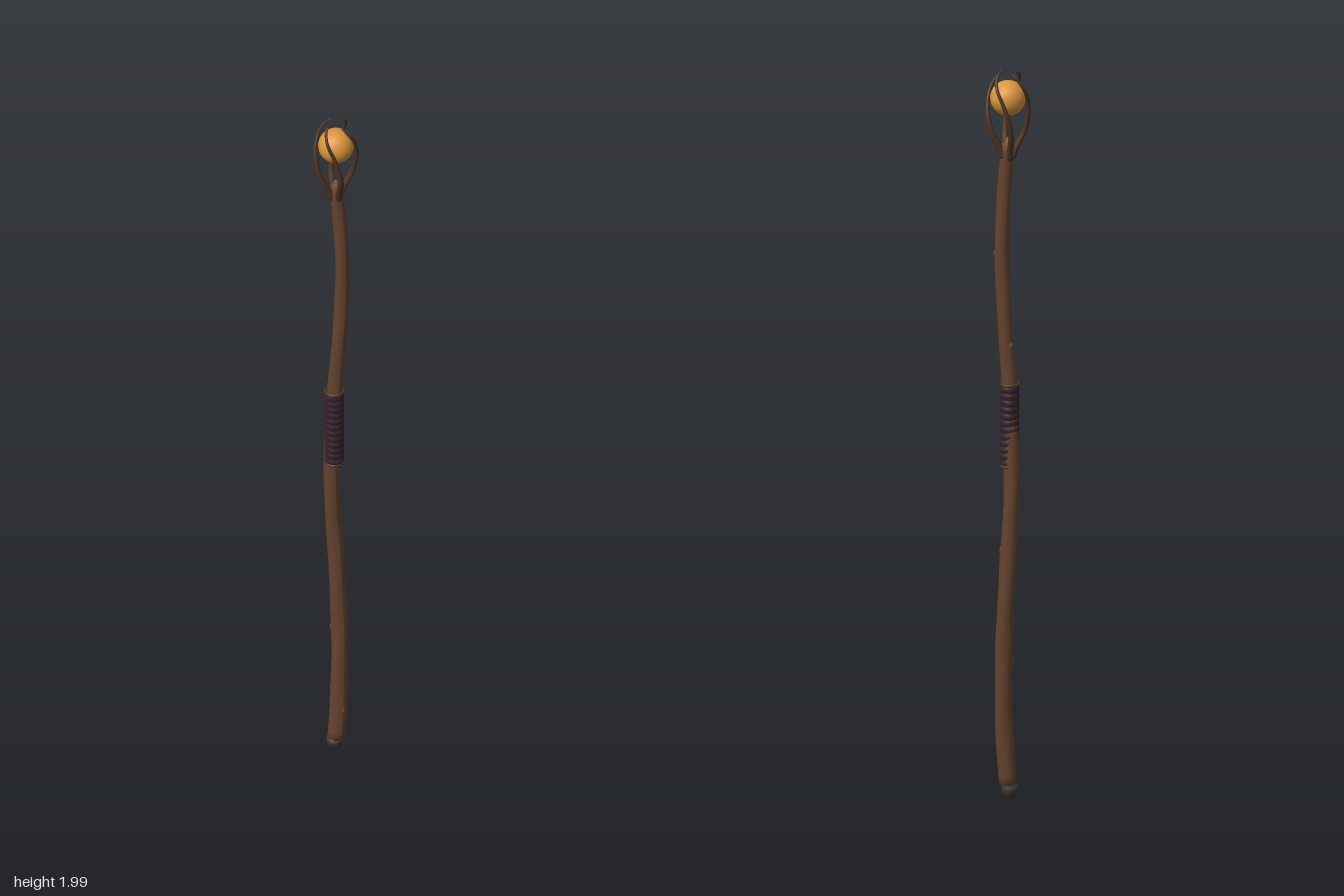
import * as THREE from 'three';

const V = (x, y, z) => new THREE.Vector3(x, y, z);

// Round tube along a smooth curve; radius(t) gives the thickness, ends are closed
function taperedTube(points, radius, segments, sides) {
  const curve = new THREE.CatmullRomCurve3(points);
  const geo = new THREE.TubeGeometry(curve, segments, 1, sides, false);
  const pos = geo.attributes.position;
  const p = V(0, 0, 0), c = V(0, 0, 0);
  for (let i = 0; i <= segments; i++) {
    curve.getPointAt(i / segments, c);
    const end = i === 0 || i === segments;
    for (let j = 0; j <= sides; j++) {
      const k = i * (sides + 1) + j;
      p.fromBufferAttribute(pos, k).sub(c);
      const r = end ? 0 : radius(i / segments, (j % sides) / sides);
      p.multiplyScalar(r).add(c);
      pos.setXYZ(k, p.x, p.y, p.z);
    }
  }
  geo.computeVertexNormals();
  return geo;
}

export function createModel() {
  const staff = new THREE.Group();
  staff.name = 'staff';
  const mat = (name, color) => {
    const m = new THREE.MeshStandardMaterial({ color });
    m.name = name;
    return m;
  };
  const wood = mat('brown wood', 0x64432f);
  const darkWood = mat('dark wood', 0x4c3424);
  const leather = mat('dark leather', 0x35222a);
  const cord = mat('cord', 0x4a3626);
  const metal = mat('dark metal', 0x383431);
  const amber = mat('amber', 0xd9953a);
  const add = (name, geo, material, parent = staff) => {
    const mesh = new THREE.Mesh(geo, material);
    mesh.name = name;
    parent.add(mesh);
    return mesh;
  };

  // Gently crooked shaft, thinner at the top
  const path = [
    V(-0.003, 0.03, 0.004), V(0.006, 0.15, 0.004), V(0.014, 0.36, -0.004),
    V(0.009, 0.6, -0.014), V(-0.003, 0.82, -0.016), V(-0.005, 0.95, -0.013),
    V(-0.003, 1.14, -0.002), V(0.007, 1.32, 0.006), V(0.014, 1.5, 0.009),
    V(0.01, 1.65, 0.007), V(0.002, 1.77, 0.002), V(0, 1.82, 0),
  ];
  const shaftRadius = (t, a) => (0.0245 - 0.007 * t)
    * (1 + 0.03 * Math.sin(t * 45 + a * Math.PI * 4));
  add('shaft', taperedTube(path, shaftRadius, 90, 16), wood);

  // Small knots in the wood: height, angle
  const curve = new THREE.CatmullRomCurve3(path);
  for (const [t, a] of [[0.06, 1.5], [0.2, 3.6], [0.37, 0.2], [0.68, 4.4], [0.82, 0.3]]) {
    const c = curve.getPointAt(t), r = 0.021 - 0.007 * t;
    const knot = add('knot', new THREE.SphereGeometry(0.007, 10, 8), wood);
    knot.position.set(c.x + Math.cos(a) * r, c.y, c.z + Math.sin(a) * r);
    knot.scale.y = 1.6;
  }

  // Rounded foot cap
  const foot = [[0, 0.008], [0.012, 0.01], [0.018, 0.018], [0.021, 0.03], [0.021, 0.042], [0, 0.044]];
  const cap = add('footCap', new THREE.LatheGeometry(
    foot.map(([r, y]) => new THREE.Vector2(r, y)), 16), metal);
  cap.position.set(-0.003, 0, -0.003);

  // Wrapped grip: ridged sleeve with a cord at each end
  const grip = new THREE.Group();
  grip.name = 'grip';
  grip.position.set(-0.003, 0, -0.004);
  staff.add(grip);
  const profile = [new THREE.Vector2(0.015, 0.92)];
  const steps = 96;
  for (let i = 0; i <= steps; i++) {
    const r = 0.0235 + 0.0025 * Math.abs(Math.sin(Math.PI * 12 * i / steps));
    profile.push(new THREE.Vector2(r, 0.92 + 0.22 * i / steps));
  }
  profile.push(new THREE.Vector2(0.015, 1.14));
  add('gripWrap', new THREE.LatheGeometry(profile, 24), leather, grip);
  for (const y of [0.92, 1.143]) {
    const ring = add('gripCord', new THREE.TorusGeometry(0.0235, 0.004, 8, 24), cord, grip);
    ring.rotation.x = Math.PI / 2;
    ring.position.y = y;
  }

  // Orb
  const orb = add('orb', new THREE.SphereGeometry(0.047, 32, 24), amber);
  orb.position.y = 1.926;

  // Four twisting claws: radius, height, angle in degrees
  const claw = [
    [0.009, 1.755, 0], [0.022, 1.79, 5], [0.042, 1.83, 11], [0.052, 1.875, 20],
    [0.054, 1.92, 36], [0.05, 1.957, 56], [0.038, 1.983, 73], [0.024, 1.997, 88],
  ].map(([r, y, d]) => {
    const a = d * Math.PI / 180;
    return V(r * Math.cos(a), y, r * Math.sin(a));
  });
  const clawGeo = taperedTube(claw, (t) => 0.0095 - 0.0065 * t, 36, 10);
  for (let i = 0; i < 4; i++) {
    add('claw', clawGeo, darkWood).rotation.y = i * Math.PI / 2;
  }
  return staff;
}
